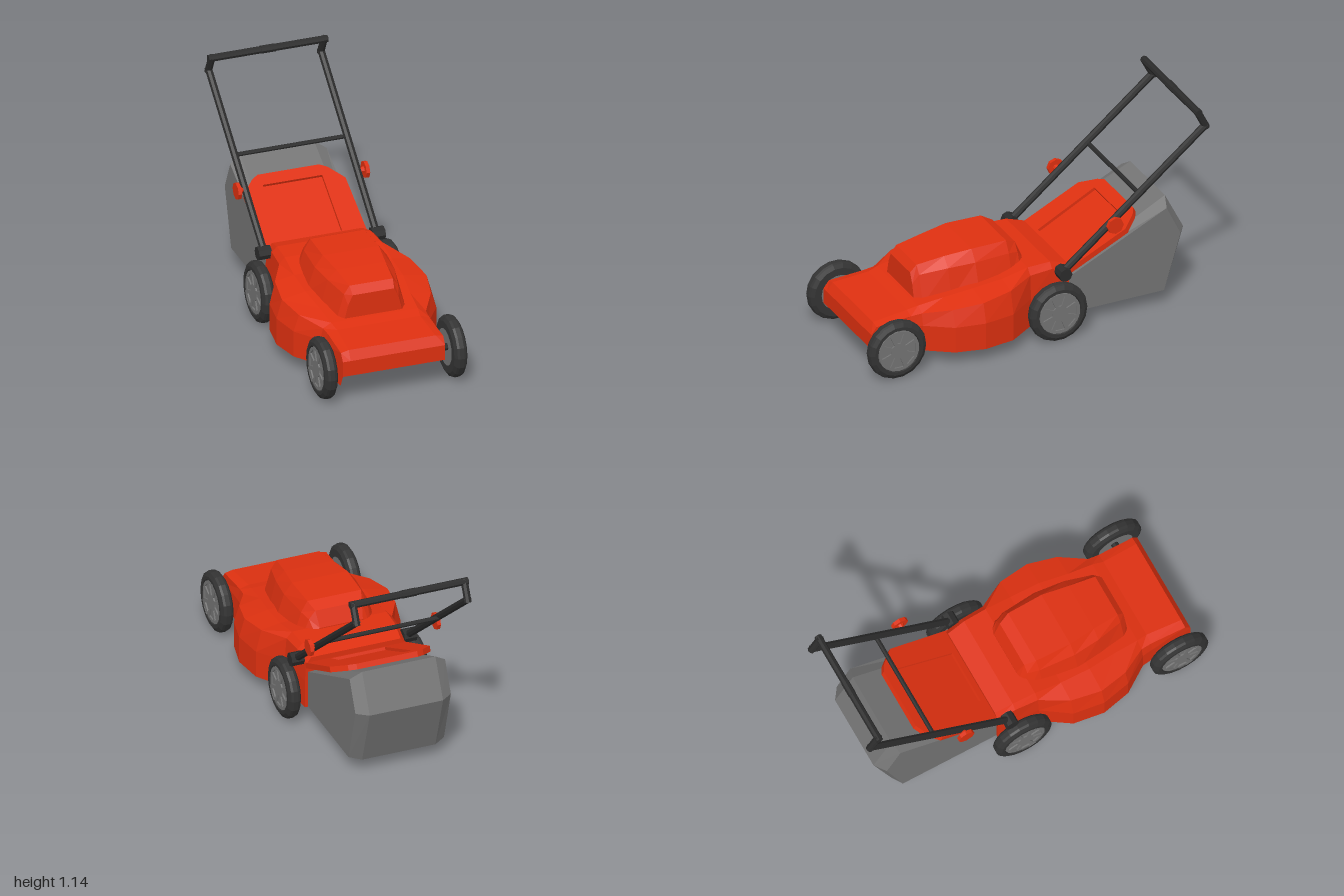
import * as THREE from 'three';

const mat = (name, color) => Object.assign(new THREE.MeshStandardMaterial({ color }), { name });

// Faceted normals for the low-poly look
function flat(geo) {
  const g = geo.index ? geo.toNonIndexed() : geo;
  g.computeVertexNormals();
  return g;
}

// Skin between equal-length rings of [x, y, z], capped at both ends
function loft(rings, closed = true) {
  const pos = [];
  const tri = (...pts) => pts.forEach((p) => pos.push(...p));
  const n = rings[0].length;
  for (let i = 0; i < rings.length - 1; i++) {
    for (let j = 0; j < (closed ? n : n - 1); j++) {
      const k = (j + 1) % n;
      const [a, b, c, d] = [rings[i][j], rings[i][k], rings[i + 1][k], rings[i + 1][j]];
      tri(a, d, c);
      tri(a, c, b);
    }
  }
  const last = rings[rings.length - 1];
  for (let j = 1; j < n - 1; j++) {
    tri(rings[0][0], rings[0][j], rings[0][j + 1]);
    tri(last[0], last[j + 1], last[j]);
  }
  const g = new THREE.BufferGeometry();
  g.setAttribute('position', new THREE.Float32BufferAttribute(pos, 3));
  g.computeVertexNormals();
  return g;
}

// Station [z, x1, y1, x2, y2, ...] mirrored into a symmetric ring
function mirrorRing([z, ...v]) {
  const half = [];
  for (let i = 0; i < v.length; i += 2) half.push([v[i], v[i + 1], z]);
  return [...half, ...half.map(([x, y]) => [-x, y, z]).reverse()];
}

const polygon = (pts) => new THREE.Shape(pts.map(([x, y]) => new THREE.Vector2(x, y)));
const lathe = (pts, n) => flat(new THREE.LatheGeometry(pts.map(([r, y]) => new THREE.Vector2(r, y)), n));

export function createModel() {
  const red = mat('red paint', 0xdd3010);
  const grey = mat('grey plastic', 0x737373);
  const rubber = mat('tyre rubber', 0x333333);
  const frame = mat('dark frame', 0x2b2b2b);
  const black = mat('chamber black', 0x1b1b1b);
  const model = new THREE.Group();

  function add(name, geo, material, parent = model) {
    const m = new THREE.Mesh(geo, material);
    m.name = name;
    parent.add(m);
    return m;
  }
  function bar(name, a, b, r, material = frame, r2 = r, sides = 8) {
    const p = new THREE.Vector3(...a), q = new THREE.Vector3(...b);
    const m = add(name, flat(new THREE.CylinderGeometry(r2, r, p.distanceTo(q), sides)), material);
    m.position.copy(p).add(q).multiplyScalar(0.5);
    m.quaternion.setFromUnitVectors(new THREE.Vector3(0, 1, 0), q.sub(p).normalize());
    return m;
  }

  // Deck shell: bottom edge, side crease, shoulder, top edge
  const deck = [
    [0.94, 0.283, 0.155, 0.283, 0.2, 0.283, 0.24, 0.24, 0.24],
    [0.91, 0.285, 0.09, 0.285, 0.22, 0.283, 0.28, 0.24, 0.29],
    [0.71, 0.293, 0.09, 0.293, 0.235, 0.28, 0.295, 0.23, 0.31],
    [0.65, 0.30, 0.09, 0.30, 0.235, 0.285, 0.30, 0.24, 0.325],
    [0.51, 0.395, 0.09, 0.395, 0.235, 0.365, 0.325, 0.25, 0.345],
    [0.35, 0.43, 0.09, 0.43, 0.24, 0.40, 0.345, 0.27, 0.37],
    [0.18, 0.405, 0.09, 0.405, 0.24, 0.375, 0.365, 0.27, 0.385],
    [0.03, 0.305, 0.09, 0.305, 0.25, 0.295, 0.38, 0.265, 0.415],
    [-0.1, 0.292, 0.09, 0.292, 0.25, 0.287, 0.385, 0.26, 0.415],
    [-0.2, 0.285, 0.09, 0.285, 0.25, 0.28, 0.345, 0.25, 0.385],
  ];
  add('deckShell', loft(deck.map(mirrorRing), false), red);

  // Underside plate with round blade chamber
  const edge = deck.slice(1).map((s) => [s[1], s[0]]);
  const under = polygon([...edge, ...edge.map(([x, z]) => [-x, z]).reverse()]);
  const R = 0.385, ZC = 0.345;
  under.holes.push(new THREE.Path().absarc(0, ZC, R, 0, Math.PI * 2, true));
  const plate = add('deckUnderside', new THREE.ShapeGeometry(under, 10).rotateX(Math.PI / 2), red);
  plate.position.y = 0.09;
  // Inward-facing wall: a lathe drawn from the top down
  add('chamberWall', lathe([[R, 0.17], [R, 0.09]], 20), red).position.z = ZC;
  const roof = add('chamberRoof', new THREE.CircleGeometry(R, 20).rotateX(Math.PI / 2), black);
  roof.position.set(0, 0.17, ZC);

  // Blade and its spindle
  add('spindle', lathe([[0, 0.015], [0.04, 0.015], [0.06, 0.035], [0.06, 0.17]], 8), rubber).position.z = ZC + 0.01;
  for (const s of [1, -1]) {
    const blade = add('blade', new THREE.BoxGeometry(0.07, 0.01, 0.35), black);
    blade.position.set(0, 0.053, ZC + 0.015 + s * 0.175);
    blade.rotation.z = s * 0.25;
  }

  // Engine hood: base, shoulder, top
  const hood = [
    [0.635, 0.165, 0.3, 0.14, 0.4, 0.115, 0.455],
    [0.6, 0.195, 0.3, 0.15, 0.45, 0.12, 0.495],
    [0.45, 0.225, 0.31, 0.185, 0.47, 0.135, 0.518],
    [0.3, 0.245, 0.34, 0.2, 0.475, 0.155, 0.535],
    [0.1, 0.225, 0.35, 0.185, 0.475, 0.15, 0.535],
    [0.04, 0.205, 0.36, 0.165, 0.46, 0.13, 0.505],
    [0, 0.17, 0.37, 0.15, 0.4, 0.12, 0.42],
  ];
  add('engineHood', loft(hood.map(mirrorRing)), red);

  // Rear flap: plate with a raised, framed top layer
  const flapOutline = [[0.28, 0], [0.28, 0.4], [0.21, 0.485], [0.17, 0.51]];
  const flapShape = () => polygon([...flapOutline, ...flapOutline.map(([x, y]) => [-x, y]).reverse()]);
  const flap = new THREE.Group();
  flap.name = 'rearFlap';
  flap.position.set(0, 0.315, -0.18);
  flap.rotation.x = -THREE.MathUtils.degToRad(64);
  model.add(flap);
  const solid = (shape, depth) => new THREE.ExtrudeGeometry(shape, { depth, bevelEnabled: false });
  add('flapPlate', solid(flapShape(), 0.014), red, flap);
  const rim = flapShape();
  rim.holes.push(new THREE.Path([[0.15, 0.07], [-0.15, 0.07], [-0.165, 0.44], [0.165, 0.44]].map(([x, y]) => new THREE.Vector2(x, y))));
  add('flapRim', solid(rim, 0.016), red, flap).position.z = 0.014;

  // Grass bag: side profile with chamfered rear corners
  const wide = [[-0.2, 0.09], [-0.755, 0.095], [-0.85, 0.41], [-0.77, 0.575], [-0.2, 0.3]];
  const full = [[-0.2, 0.085], [-0.79, 0.085], [-0.895, 0.41], [-0.79, 0.617], [-0.2, 0.305]];
  const bagRing = (x, prof) => prof.map(([z, y]) => [x, y, z]);
  add('grassBag', loft([bagRing(0.267, wide), bagRing(0.205, full), bagRing(-0.205, full), bagRing(-0.267, wide)]), grey);

  // Wheels: tyre, hub disc and an eight-window hub face
  const tyre = lathe([[0.1, -0.036], [0.14, -0.036], [0.16, -0.024], [0.165, -0.012], [0.165, 0.012],
    [0.16, 0.024], [0.14, 0.036], [0.122, 0.036], [0.116, 0.018]], 18);
  const hubDisc = flat(new THREE.CylinderGeometry(0.117, 0.117, 0.05, 18));
  const face = new THREE.Shape().absarc(0, 0, 0.116, 0, Math.PI * 2);
  for (let i = 0; i < 8; i++) {
    const at = (r, da) => new THREE.Vector2(r * Math.cos(i * Math.PI / 4 + da), r * Math.sin(i * Math.PI / 4 + da));
    face.holes.push(new THREE.Path([at(0.045, -0.2), at(0.1, -0.28), at(0.1, 0.28), at(0.045, 0.2)]));
  }
  const hubFace = new THREE.ExtrudeGeometry(face, { depth: 0.008, bevelEnabled: false, curveSegments: 9 }).rotateX(-Math.PI / 2);
  for (const [end, z] of [['front', 0.832], ['rear', -0.097]]) {
    for (const s of [1, -1]) {
      const wheel = new THREE.Group();
      wheel.name = end + (s > 0 ? 'LeftWheel' : 'RightWheel');
      wheel.position.set(s * 0.358, 0.172, z);
      wheel.rotation.z = -s * Math.PI / 2;
      model.add(wheel);
      add('tyre', tyre, rubber, wheel);
      add('hub', hubDisc, grey, wheel);
      add('hubFace', hubFace, grey, wheel).position.y = 0.025;
    }
    bar(end + 'Axle', [-0.34, 0.172, z], [0.34, 0.172, z], 0.02);
  }

  // Push handle with clamps and red knobs
  for (const s of [1, -1]) {
    const x = s * 0.311;
    bar('handleClamp', [s * 0.28, 0.365, -0.15], [s * 0.35, 0.365, -0.15], 0.037);
    bar('handleArm', [x, 0.36, -0.14], [x, 1.045, -0.978], 0.02);
    bar('handleBend', [x, 1.025, -0.978], [x, 1.135, -0.922], 0.02);
    bar('knobStem', [s * 0.32, 0.597, -0.43], [s * 0.35, 0.597, -0.43], 0.013, red, 0.02);
    bar('knob', [s * 0.344, 0.597, -0.43], [s * 0.364, 0.597, -0.43], 0.046, red);
  }
  bar('handleGrip', [-0.33, 1.125, -0.928], [0.33, 1.125, -0.928], 0.02);
  bar('gripSleeve', [-0.04, 1.125, -0.928], [0.04, 1.125, -0.928], 0.022);
  bar('handleBrace', [-0.31, 0.72, -0.595], [0.31, 0.72, -0.595], 0.012);

  return model;
}
